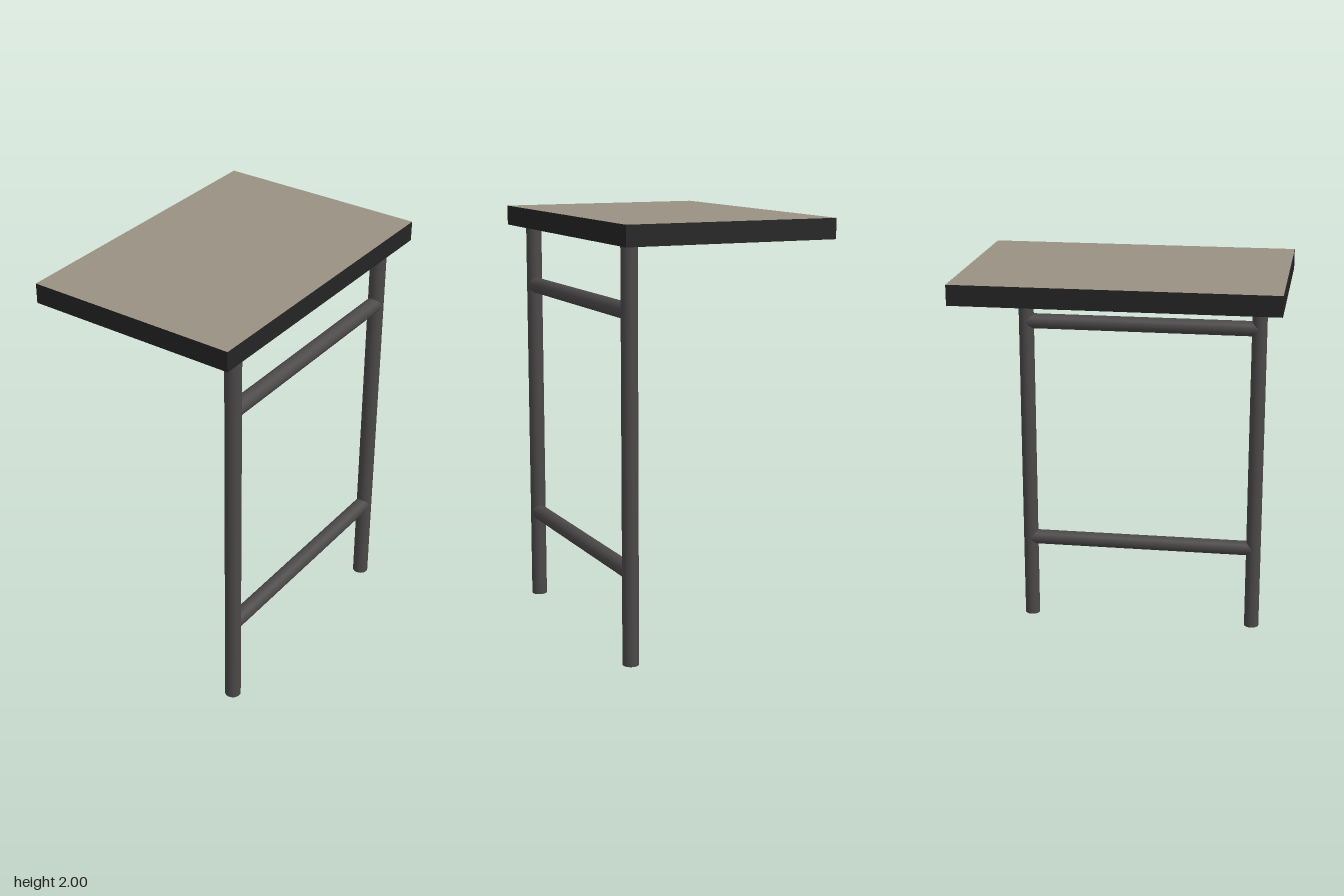
import * as THREE from 'three';

export function createModel() {
  const model = new THREE.Group();
  model.name = 'wallTable';

  const laminate = new THREE.MeshStandardMaterial({ color: 0x9a9184 });
  laminate.name = 'warm grey laminate';
  const trim = new THREE.MeshStandardMaterial({ color: 0x242424 });
  trim.name = 'black edge trim';
  const steel = new THREE.MeshStandardMaterial({ color: 0x4b4848 });
  steel.name = 'dark grey steel';

  const TUBE_RADIUS = 0.038;
  const LEG_X = 0.43;
  const LEG_Z = 0.59;
  const TOP_HEIGHT = 2;
  const TOP_THICKNESS = 0.095;
  const UNDERSIDE = TOP_HEIGHT - TOP_THICKNESS;

  // Tabletop: laminate above and below, dark trim around the four edges
  const tabletop = new THREE.Mesh(
    new THREE.BoxGeometry(1.024, TOP_THICKNESS, 1.49),
    [trim, trim, laminate, laminate, trim, trim]
  );
  tabletop.name = 'tabletop';
  tabletop.position.y = TOP_HEIGHT - TOP_THICKNESS / 2;
  model.add(tabletop);

  const addTube = (name, length, y, z) => {
    const tube = new THREE.Mesh(
      new THREE.CylinderGeometry(TUBE_RADIUS, TUBE_RADIUS, length, 24),
      steel
    );
    tube.name = name;
    tube.position.set(LEG_X, y, z);
    model.add(tube);
    return tube;
  };

  // Two legs under the left side only
  addTube('frontLeg', UNDERSIDE, UNDERSIDE / 2, LEG_Z);
  addTube('backLeg', UNDERSIDE, UNDERSIDE / 2, -LEG_Z);

  // Cross rails joining the legs
  for (const [name, y] of [['lowerRail', 0.437], ['upperRail', 1.612]]) {
    addTube(name, LEG_Z * 2, y, 0).rotation.x = Math.PI / 2;
  }

  return model;
}
